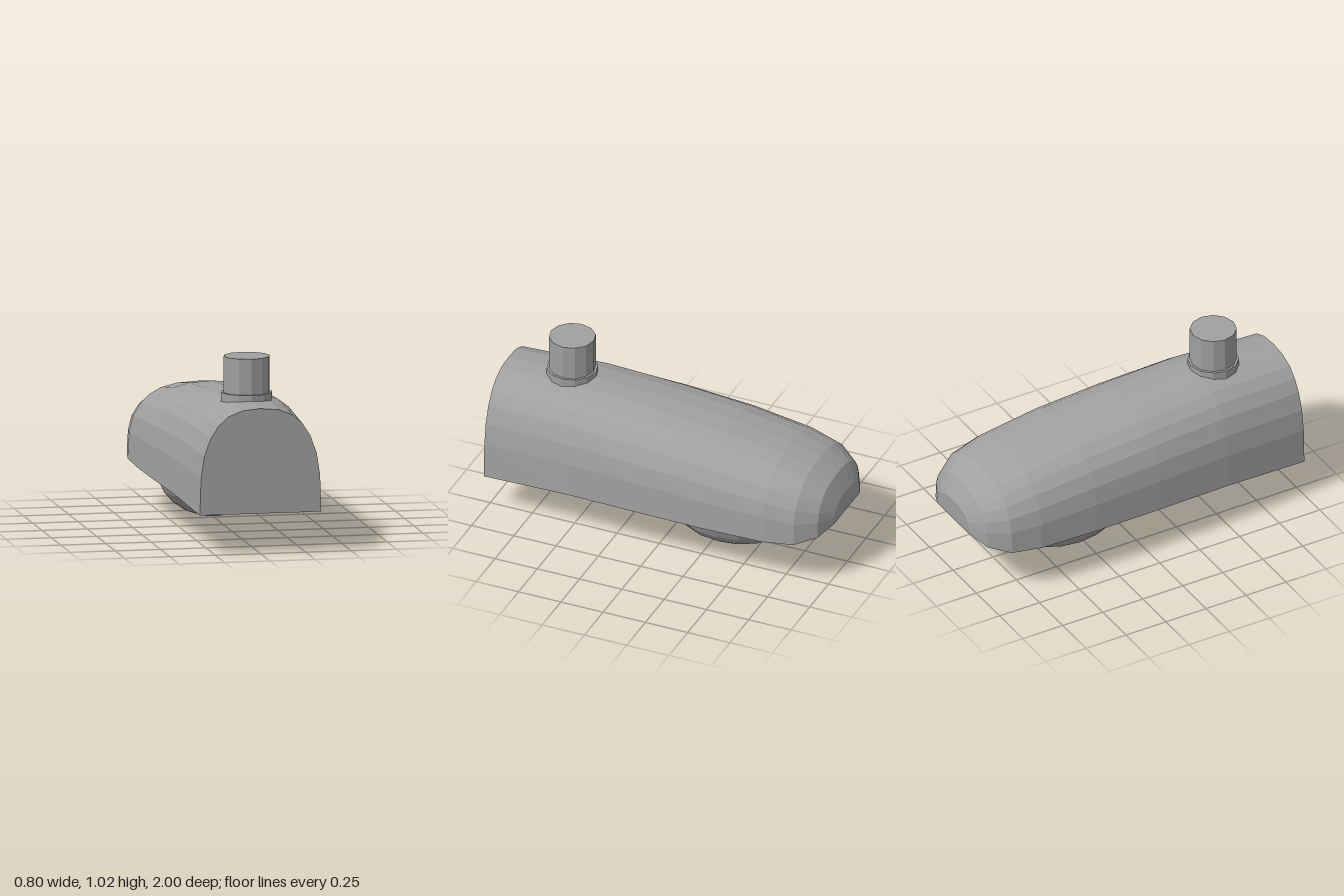
import * as THREE from 'three';

const grey = new THREE.MeshStandardMaterial({ color: 0xa0a0a0 });
grey.name = 'grey';
grey.flatShading = true;

// Half of the arched cross-section: [share of half width, share of height]
const ARCH = [[1, 0], [0.98, 0.35], [0.925, 0.56], [0.82, 0.73], [0.69, 0.845], [0.53, 0.93], [0.3, 0.983], [0, 1]];

// Body sections from the flat front to the rounded tip: [z, half width, bottom, top]
const SECTIONS = [
  [1, 0.335, 0.22, 0.795],
  [0.5, 0.375, 0.259, 0.8],
  [0.07, 0.395, 0.267, 0.772],
  [-0.33, 0.4, 0.267, 0.735],
  [-0.67, 0.39, 0.267, 0.68],
  [-0.84, 0.36, 0.274, 0.63],
  [-0.947, 0.28, 0.3, 0.56],
  [-1, 0.172, 0.342, 0.46],
];

function loftBody() {
  const outline = [...ARCH, ...ARCH.slice(0, -1).reverse().map(([x, y]) => [-x, y])];
  const n = outline.length;
  const positions = [];
  const index = [];
  for (const [z, w, bottom, top] of SECTIONS) {
    for (const [x, y] of outline) positions.push(x * w, bottom + y * (top - bottom), z);
  }
  // Skin, including the flat underside
  for (let i = 0; i < SECTIONS.length - 1; i++) {
    for (let j = 0; j < n; j++) {
      const a = i * n + j;
      const b = i * n + (j + 1) % n;
      index.push(a, a + n, b, b, a + n, b + n);
    }
  }
  // End caps
  const last = (SECTIONS.length - 1) * n;
  for (let j = 1; j < n - 1; j++) {
    index.push(0, j, j + 1);
    index.push(last, last + j + 1, last + j);
  }
  const geometry = new THREE.BufferGeometry();
  geometry.setAttribute('position', new THREE.Float32BufferAttribute(positions, 3));
  geometry.setIndex(index);
  const flat = geometry.toNonIndexed();
  flat.computeVertexNormals();
  return flat;
}

export function createModel() {
  const group = new THREE.Group();
  group.name = 'lampHead';
  const add = (name, geometry, x, y, z) => {
    const mesh = new THREE.Mesh(geometry, grey);
    mesh.name = name;
    mesh.position.set(x, y, z);
    group.add(mesh);
    return mesh;
  };

  add('housing', loftBody(), 0, 0, 0);

  // Mounting pipe and its collar
  add('collar', new THREE.CylinderGeometry(0.14, 0.14, 0.07, 12), 0, 0.793, 0.625);
  add('pipe', new THREE.CylinderGeometry(0.127, 0.127, 0.235, 12), 0, 0.9075, 0.625);

  // Oval bowl under the housing
  const bowl = new THREE.SphereGeometry(1, 16, 6, 0, Math.PI * 2, Math.PI / 2, Math.PI / 2);
  bowl.scale(0.3, 0.268, 0.4);
  add('lensBowl', bowl, 0, 0.268, -0.33);

  // Small latch behind the bowl
  add('latch', new THREE.BoxGeometry(0.16, 0.05, 0.105), 0, 0.265, -0.813);

  return group;
}
